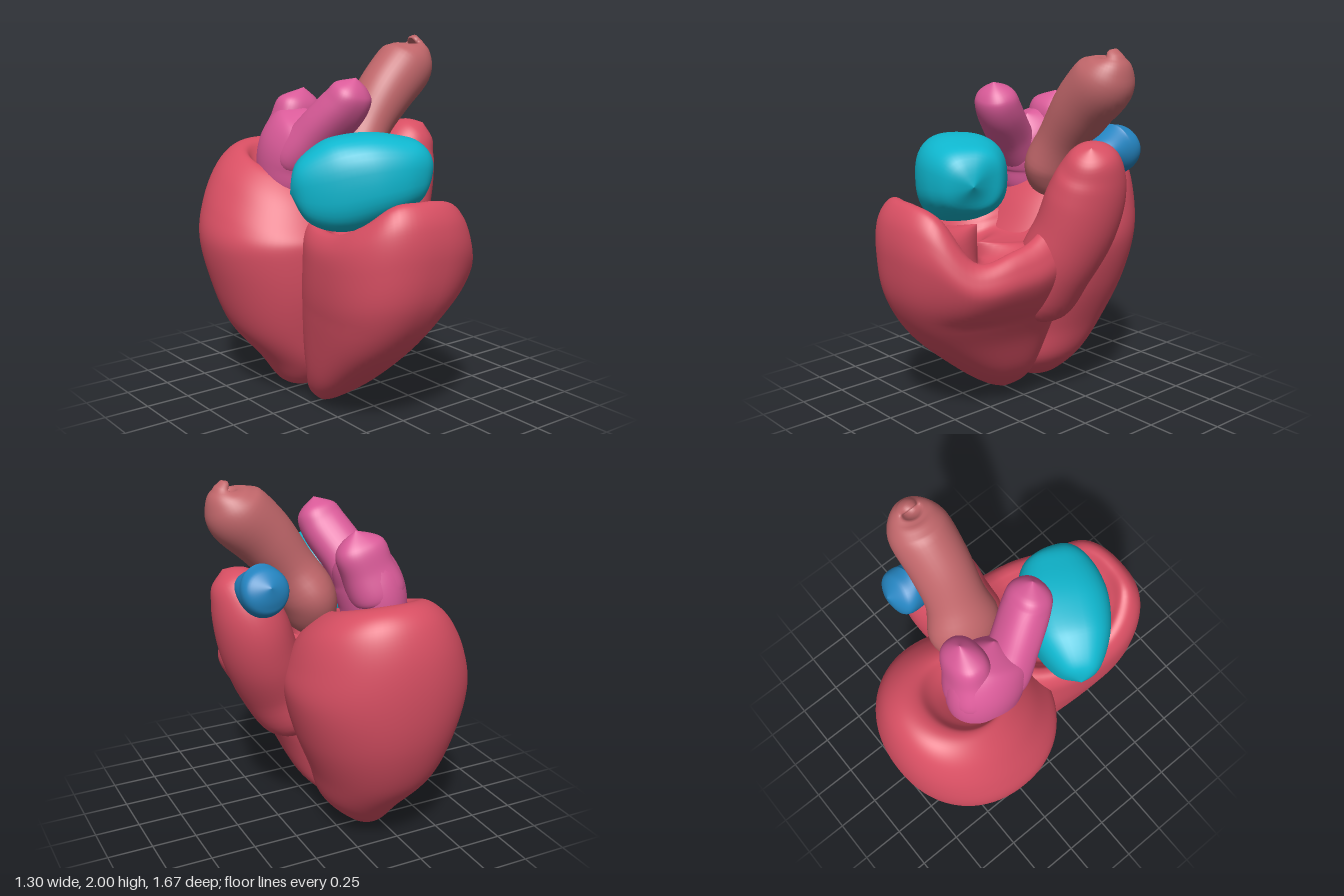
import * as THREE from 'three';

const RED = 0xd84f63, ROSE = 0xc0666a, PINK = 0xd95a98, TEAL = 0x0fb8d0, BLUE = 0x2484c0;

// Catmull-Rom interpolation through rows of numbers
function sample(keys, t) {
  const n = keys.length - 1, s = Math.min(t, 0.99999) * n, i = Math.floor(s), f = s - i;
  const k = (j) => keys[Math.max(0, Math.min(n, j))];
  return k(i).map((b, c) => {
    const a = k(i - 1)[c], d = k(i + 1)[c], e = k(i + 2)[c];
    return b + 0.5 * f * (d - a + f * (2 * a - 5 * b + 4 * d - e + f * (3 * (b - d) + e - a)));
  });
}

// Superellipse unit circle: [sideways, forwards]
function ringPoint(angle, power) {
  const p = (v) => Math.sign(v) * Math.abs(v) ** (2 / power);
  return [p(Math.sin(angle)), p(Math.cos(angle))];
}

// Skin of rings, point(t, angle) -> Vector3
function skin(name, color, point, rows = 56, cols = 56) {
  const pos = [], index = [];
  for (let i = 0; i <= rows; i++) {
    for (let j = 0; j < cols; j++) pos.push(...point(i / rows, (j / cols) * Math.PI * 2).toArray());
  }
  for (let i = 0; i < rows; i++) {
    for (let j = 0; j < cols; j++) {
      const a = i * cols + j, b = i * cols + (j + 1) % cols;
      index.push(a, b, a + cols, b, b + cols, a + cols);
    }
  }
  const geo = new THREE.BufferGeometry();
  geo.setAttribute('position', new THREE.Float32BufferAttribute(pos, 3));
  geo.setIndex(index);
  geo.computeVertexNormals();
  const mesh = new THREE.Mesh(geo, new THREE.MeshStandardMaterial({ color, side: THREE.DoubleSide }));
  mesh.name = name;
  return mesh;
}

// Sweep along a path; keys: [x, y, z, radius across, radius along ref]
function sweep(name, color, keys, ref = [0, 0, 1], power = 2) {
  const at = (t) => new THREE.Vector3(...sample(keys, t).slice(0, 3));
  return skin(name, color, (t, angle) => {
    const k = sample(keys, t);
    const dir = at(Math.min(1, t + 0.04)).sub(at(Math.max(0, t - 0.04))).normalize();
    const v = new THREE.Vector3(...ref);
    v.addScaledVector(dir, -v.dot(dir)).normalize();
    const u = dir.clone().cross(v);
    const [s, c] = ringPoint(angle, power);
    return new THREE.Vector3(k[0], k[1], k[2])
      .addScaledVector(u, s * Math.max(0, k[3])).addScaledVector(v, c * Math.max(0, k[4]));
  }, 40, 40);
}

// Level sections; keys: [y, centre x, centre z, radius x, radius z]
function chamber(name, keys, power, adjust) {
  return skin(name, RED, (t, angle) => {
    const [y, cx, cz, rx, rz] = sample(keys, t);
    const [s, c] = ringPoint(angle, power);
    const p = new THREE.Vector3(cx + s * Math.max(0, rx), y, cz + c * Math.max(0, rz));
    adjust(p, angle, cz);
    return p;
  }, 80, 80);
}

export function createModel() {
  const heart = new THREE.Group();
  heart.name = 'heart';

  // Rear chamber: rounded cone, its dented top sloping down to the front
  heart.add(chamber('leftVentricle', [
    [0.02, -0.16, -0.28, 0, 0],
    [0.06, -0.16, -0.26, 0.1, 0.13],
    [0.2, -0.14, -0.26, 0.22, 0.26],
    [0.4, -0.175, -0.315, 0.335, 0.365],
    [0.65, -0.17, -0.34, 0.43, 0.445],
    [0.9, -0.165, -0.355, 0.485, 0.475],
    [1.1, -0.155, -0.36, 0.455, 0.465],
    [1.27, -0.14, -0.37, 0.39, 0.4],
    [1.37, -0.14, -0.38, 0.3, 0.31],
    [1.4, -0.15, -0.37, 0.22, 0.22],
    [1.34, -0.16, -0.35, 0.16, 0.16],
    [1.25, -0.16, -0.34, 0, 0],
  ], 2.1, (p) => {
    p.y -= 0.32 * (p.z + 0.58) * THREE.MathUtils.smoothstep(p.y, 0.8, 1.3);
  }));

  // Front chamber: leaning cone with a hollow top and an uneven rim
  const rim = [1.24, 1.18, 0.96, 1.0, 1.1, 1.1, 1.1, 1.1, 1.05, 1.04, 1.12, 1.23, 1.24].map((h) => [h]);
  heart.add(chamber('rightVentricle', [
    [0, -0.17, 0, 0, 0],
    [0.06, -0.16, 0.02, 0.08, 0.12],
    [0.2, -0.12, 0.12, 0.19, 0.22],
    [0.45, -0.09, 0.235, 0.28, 0.385],
    [0.7, -0.04, 0.31, 0.37, 0.47],
    [0.95, 0, 0.335, 0.42, 0.495],
    [1.12, 0, 0.335, 0.41, 0.485],
    [1.22, 0, 0.33, 0.37, 0.44],
    [1.235, 0, 0.33, 0.32, 0.385],
    [1.17, 0, 0.33, 0.28, 0.335],
    [1.08, 0, 0.33, 0.22, 0.25],
    [1.07, 0, 0.33, 0, 0],
  ], 2.45, (p, angle, cz) => {
    const h = sample(rim, angle / (Math.PI * 2))[0];
    if (p.y > 0.6) p.y = 0.6 + (p.y - 0.6) * (h - 0.6) / 0.64;
    p.x -= 0.12 * (p.z - cz);
  }));

  // Outflow channel rising at the side of the front chamber
  heart.add(sweep('outflowTract', RED, [
    [0.08, 0.5, 0.04, 0, 0],
    [0.14, 0.62, 0.03, 0.17, 0.2],
    [0.26, 0.84, 0.01, 0.2, 0.22],
    [0.36, 1.05, -0.04, 0.2, 0.23],
    [0.42, 1.24, -0.06, 0.19, 0.225],
    [0.47, 1.38, -0.04, 0.155, 0.185],
    [0.51, 1.47, 0, 0.1, 0.11],
    [0.53, 1.51, 0.02, 0, 0],
  ]));

  // Valve plug at the back of the outflow
  heart.add(sweep('pulmonaryValve', BLUE, [
    [0.44, 1.45, -0.05, 0, 0],
    [0.44, 1.46, -0.13, 0.09, 0.07],
    [0.43, 1.46, -0.25, 0.12, 0.135],
    [0.43, 1.49, -0.33, 0.11, 0.1],
    [0.43, 1.51, -0.38, 0, 0],
  ], [0, 1, 0]));

  // Great vessel, open at its small upper mouth
  heart.add(sweep('aorta', ROSE, [
    [0.09, 1.15, -0.12, 0, 0],
    [0.1, 1.21, -0.13, 0.11, 0.13],
    [0.13, 1.36, -0.13, 0.15, 0.2],
    [0.22, 1.52, -0.11, 0.14, 0.16],
    [0.35, 1.69, -0.1, 0.16, 0.16],
    [0.49, 1.83, -0.1, 0.165, 0.16],
    [0.54, 1.91, -0.1, 0.115, 0.12],
    [0.55, 1.95, -0.1, 0.06, 0.065],
    [0.545, 1.952, -0.1, 0.03, 0.03],
  ]));

  // Front upper chamber: boxy cushion lying diagonally
  heart.add(sweep('rightAtrium', TEAL, [
    [-0.48, 1.24, 0.16, 0, 0],
    [-0.43, 1.25, 0.19, 0.15, 0.11],
    [-0.29, 1.27, 0.26, 0.235, 0.2],
    [-0.12, 1.31, 0.34, 0.23, 0.24],
    [0.03, 1.33, 0.42, 0.19, 0.21],
    [0.12, 1.33, 0.47, 0.14, 0.14],
    [0.18, 1.32, 0.49, 0, 0],
  ], [0.54, 0, -0.84], 2.6));

  // Rear upper chamber: body with two horns
  const leftAtrium = new THREE.Group();
  leftAtrium.name = 'leftAtrium';
  leftAtrium.add(
    sweep('atriumBody', PINK, [
      [-0.2, 1.08, -0.24, 0, 0],
      [-0.2, 1.16, -0.24, 0.14, 0.18],
      [-0.2, 1.3, -0.25, 0.17, 0.225],
      [-0.18, 1.43, -0.22, 0.17, 0.23],
      [-0.14, 1.53, -0.17, 0.13, 0.2],
      [-0.12, 1.6, -0.13, 0, 0],
    ]),
    sweep('frontHorn', PINK, [
      [-0.24, 1.25, -0.22, 0, 0],
      [-0.22, 1.33, -0.17, 0.13, 0.12],
      [-0.16, 1.5, -0.03, 0.13, 0.12],
      [-0.09, 1.65, 0.1, 0.125, 0.115],
      [-0.07, 1.74, 0.14, 0.1, 0.09],
      [-0.06, 1.8, 0.16, 0, 0],
    ], [0, 0, 1], 2.3),
    sweep('rearHorn', PINK, [
      [-0.2, 1.28, -0.34, 0, 0],
      [-0.19, 1.36, -0.33, 0.14, 0.13],
      [-0.13, 1.52, -0.31, 0.14, 0.115],
      [-0.09, 1.64, -0.3, 0.125, 0.09],
      [-0.07, 1.72, -0.3, 0, 0],
    ], [0, 0, 1], 2.3),
  );
  heart.add(leftAtrium);
  return heart;
}
